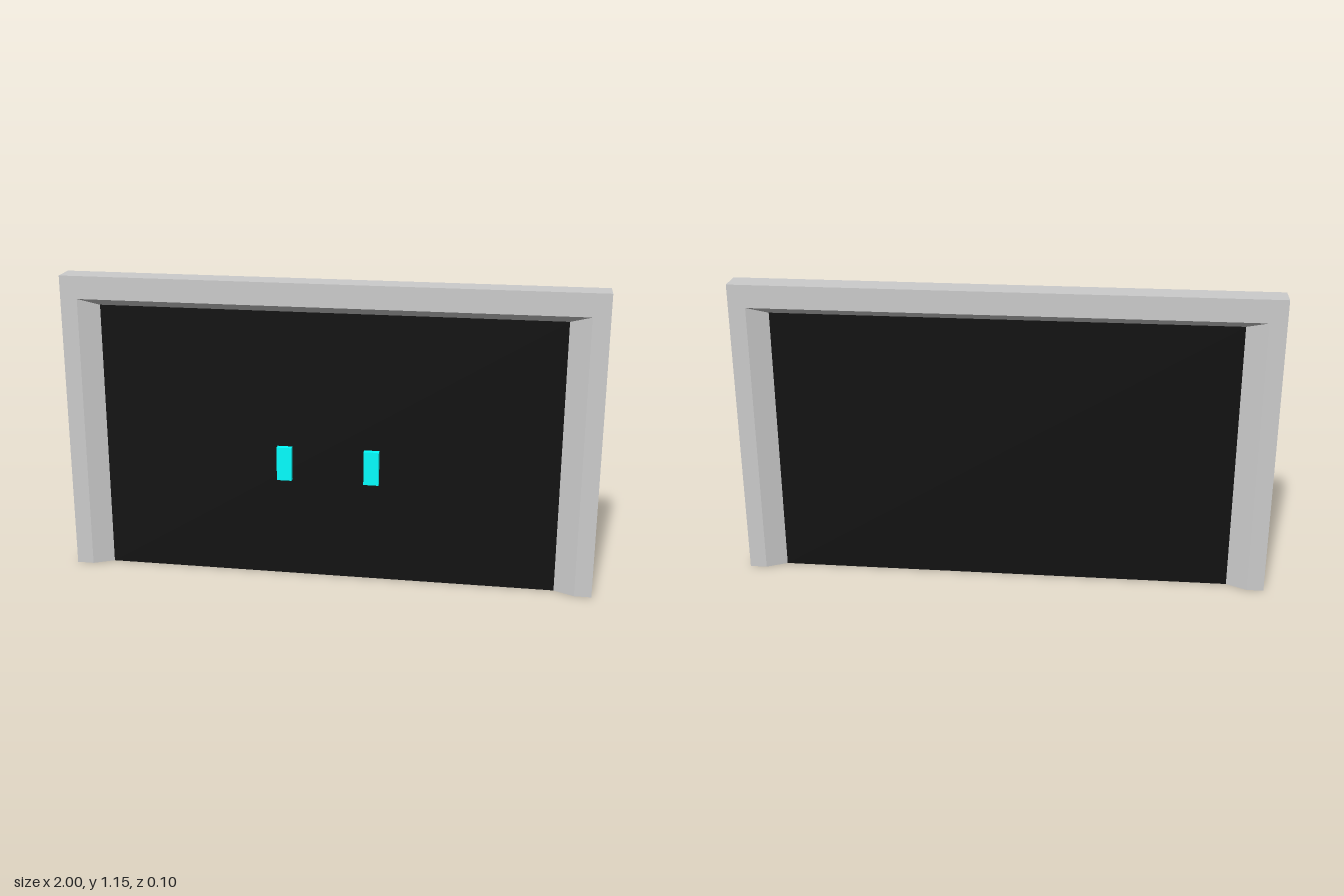
import * as THREE from 'three';

const DEPTH = 0.048, LIP = 0.01;
const OPEN_X = 0.861, OPEN_Y = 1.037;

// Bevelled section swept up one jamb, across the lintel and down the other jamb
function frameGeometry() {
  // [half width, height, z] of each section point at the mitred corner
  const section = [
    [1, 1.15, DEPTH], [0.936, 1.064, DEPTH], [OPEN_X, OPEN_Y, LIP],
    [OPEN_X, OPEN_Y, -LIP], [0.936, 1.064, -DEPTH], [1, 1.15, -DEPTH],
  ];
  // [side, foot or corner] for each station
  const stations = [[1, 0], [1, 1], [-1, 1], [-1, 0]];
  const rings = stations.map(([sx, sy]) => section.map(([x, y, z]) => [x * sx, y * sy, z]));
  const pos = [];
  const tri = (a, b, c) => pos.push(...a, ...b, ...c);
  const n = section.length;
  for (let s = 0; s < rings.length - 1; s++) {
    for (let k = 0; k < n; k++) {
      const a = rings[s][k], b = rings[s][(k + 1) % n];
      const d = rings[s + 1][k], c = rings[s + 1][(k + 1) % n];
      tri(a, d, c);
      tri(a, c, b);
    }
  }
  // Feet of the two jambs
  const first = rings[0], last = rings[rings.length - 1];
  for (let k = 1; k < n - 1; k++) {
    tri(first[0], first[k], first[k + 1]);
    tri(last[0], last[k + 1], last[k]);
  }
  const geo = new THREE.BufferGeometry();
  geo.setAttribute('position', new THREE.Float32BufferAttribute(pos, 3));
  geo.computeVertexNormals();
  return geo;
}

export function createModel() {
  const model = new THREE.Group();
  model.name = 'framedDoor';
  const add = (name, geo, color, x = 0, y = 0, z = 0) => {
    const mesh = new THREE.Mesh(geo, new THREE.MeshStandardMaterial({ color }));
    mesh.name = name;
    mesh.position.set(x, y, z);
    model.add(mesh);
  };

  add('doorFrame', frameGeometry(), 0xcccccc);

  // Thin dark panel filling the opening
  add('doorPanel', new THREE.BoxGeometry(OPEN_X * 2, OPEN_Y, LIP * 2), 0x111111, 0, OPEN_Y / 2, 0);

  // Pair of handles on the front only
  for (const [name, side] of [['leftHandle', 1], ['rightHandle', -1]]) {
    add(name, new THREE.BoxGeometry(0.057, 0.13, 0.022), 0x00ffff, side * 0.165, 0.454, LIP + 0.011);
  }
  return model;
}
